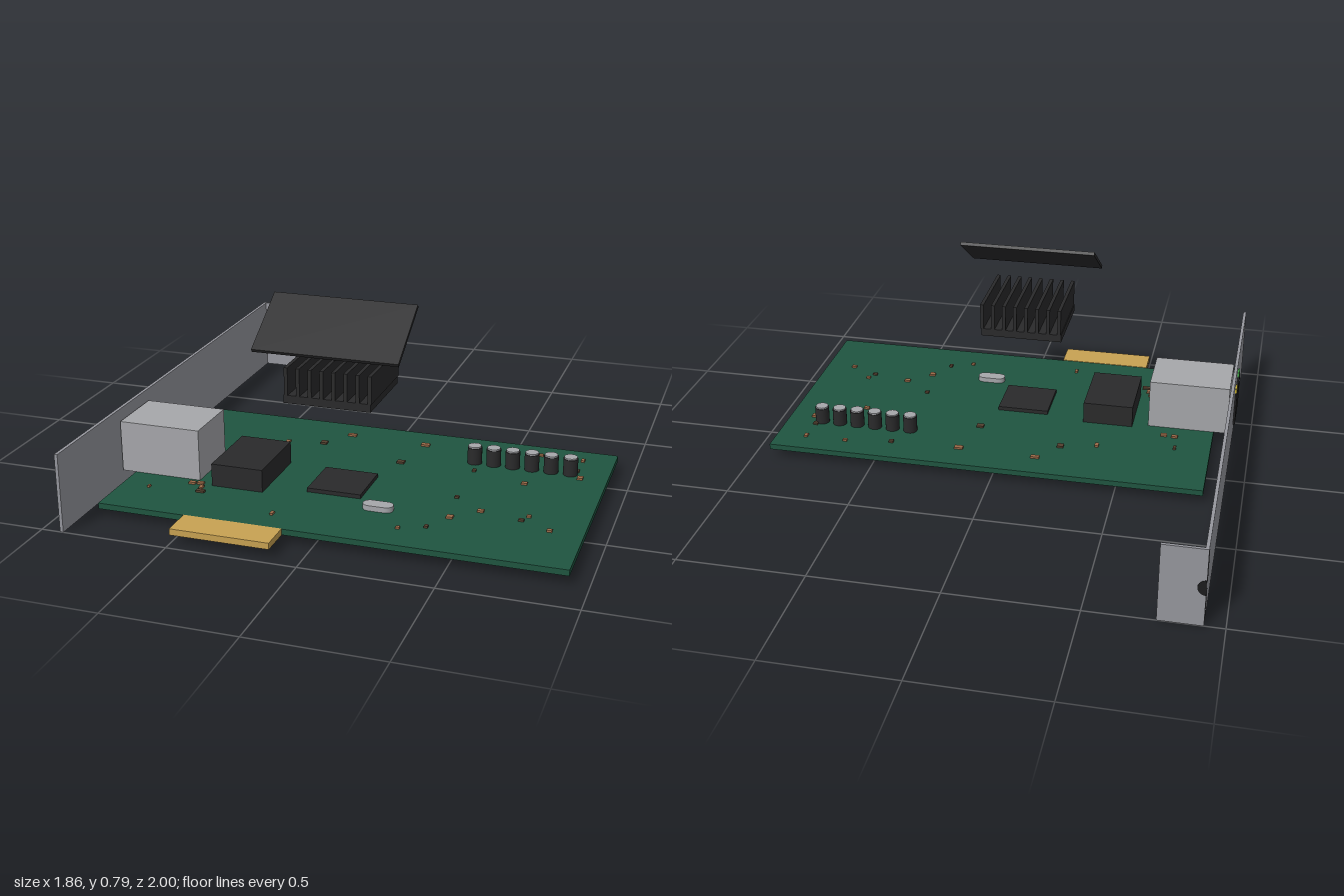
import * as THREE from 'three';

const mat = (name, color) => {
  const m = new THREE.MeshStandardMaterial({ color });
  m.name = name;
  return m;
};

export function createModel() {
  const green = mat('boardGreen', 0x1f5540);
  const gold = mat('contactGold', 0xc8a252);
  const steel = mat('bracketSteel', 0x96979e);
  const silver = mat('silver', 0xa6a7ab);
  const dark = mat('darkPlastic', 0x2a2a2b);
  const black = mat('black', 0x1c1c1d);
  const copper = mat('componentCopper', 0x9a6a48);
  const brown = mat('componentBrown', 0x54402f);
  const yellow = mat('lightYellow', 0xc8b030);
  const lime = mat('lightGreen', 0x3fa045);

  const model = new THREE.Group();
  model.name = 'expansionCard';

  const add = (parent, name, geometry, material, x = 0, y = 0, z = 0) => {
    const mesh = new THREE.Mesh(geometry, material);
    mesh.name = name;
    mesh.position.set(x, y, z);
    parent.add(mesh);
    return mesh;
  };
  // Box given by its low and high limits on each axis
  const box = (name, material, [x0, x1], [y0, y1], [z0, z1], parent = model) =>
    add(parent, name, new THREE.BoxGeometry(x1 - x0, y1 - y0, z1 - z0), material,
      (x0 + x1) / 2, (y0 + y1) / 2, (z0 + z1) / 2);
  const group = (name) => {
    const g = new THREE.Group();
    g.name = name;
    model.add(g);
    return g;
  };

  // Circuit board and edge connector
  box('circuitBoard', green, [-0.85, 0.93], [0.035, 0.058], [-0.2, 0.843]);
  box('edgeConnector', gold, [-0.5, -0.115], [0.035, 0.06], [0.843, 0.967]);

  // Mounting bracket with folded tab
  const bracket = group('bracket');
  box('bracketPlate', steel, [-0.925, -0.912], [0, 0.308], [-1, 1], bracket);
  box('bracketTab', steel, [-0.912, -0.762], [0, 0.308], [-1, -0.988], bracket);
  // Screw notch at the folded corner
  const notch = add(bracket, 'screwNotch',
    new THREE.CylinderGeometry(0.03, 0.03, 0.016, 20, 1, false, 0, Math.PI), black, -0.924, 0.155, -0.994);
  notch.rotation.x = Math.PI / 2;
  for (const y of [[0.012, 0.14], [0.17, 0.296]])
    box('cornerFold', black, [-0.926, -0.918], y, [-0.986, -0.975], bracket);

  // Network socket
  const socket = group('networkSocket');
  box('socketShell', silver, [-0.905, -0.575], [0.058, 0.263], [0.29, 0.535], socket);
  box('socketOpening', black, [-0.934, -0.925], [0.09, 0.235], [0.315, 0.515], socket);
  box('yellowLight', yellow, [-0.932, -0.925], [0.235, 0.255], [0.315, 0.36], socket);
  box('greenLight', lime, [-0.932, -0.925], [0.235, 0.255], [0.47, 0.515], socket);

  // Transformer and main chip
  box('transformer', dark, [-0.51, -0.302], [0.058, 0.148], [0.265, 0.567]);
  box('mainChip', dark, [-0.142, 0.072], [0.058, 0.074], [0.298, 0.51]);

  // Oscillator can with rounded ends
  const can = new THREE.Shape();
  can.absarc(0.032, 0, 0.027, -Math.PI / 2, Math.PI / 2);
  can.absarc(-0.032, 0, 0.027, Math.PI / 2, Math.PI * 1.5);
  const canGeo = new THREE.ExtrudeGeometry(can, { depth: 0.021, bevelEnabled: false, curveSegments: 12 });
  canGeo.rotateX(-Math.PI / 2);
  add(model, 'oscillator', canGeo, silver, 0.163, 0.058, 0.575);

  // Row of capacitors with silver tops
  const caps = group('capacitors');
  for (let i = 0; i < 6; i++) {
    const x = 0.395 + i * 0.077;
    add(caps, 'capacitorBody', new THREE.CylinderGeometry(0.029, 0.029, 0.068, 20), dark, x, 0.092, 0.04);
    add(caps, 'capacitorTop', new THREE.CylinderGeometry(0.026, 0.026, 0.006, 20), silver, x, 0.129, 0.04);
  }

  // Heat sink held above the board: pad, base and fins
  const sink = group('heatSink');
  box('thermalPad', silver, [-0.145, 0.075], [0.427, 0.434], [0.295, 0.51], sink);
  box('sinkBase', dark, [-0.205, 0.132], [0.434, 0.465], [0.235, 0.57], sink);
  for (let i = 0; i < 8; i++) {
    const x = -0.195 + i * 0.0463;
    box('sinkFin', dark, [x - 0.007, x + 0.007], [0.465, 0.572], [0.235, 0.57], sink);
  }

  // Tilted cover plate above the heat sink
  const cover = box('coverPlate', dark, [-0.315, 0.247], [0.704, 0.718], [0.335, 0.62]);
  cover.rotation.x = 0.56;

  // Small surface components: x, z, length, width
  const smd = group('surfaceComponents');
  const parts = [
    [-0.16, -0.08, 0.035, 0.018], [-0.245, 0.033, 0.026, 0.026], [0.16, -0.068, 0.035, 0.022],
    [-0.39, 0.07, 0.016, 0.026], [0.115, 0.133, 0.03, 0.024], [-0.695, 0.21, 0.026, 0.018],
    [-0.65, 0.215, 0.026, 0.018], [-0.705, 0.115, 0.012, 0.024], [-0.59, 0.57, 0.026, 0.018],
    [-0.558, 0.565, 0.026, 0.018], [-0.528, 0.633, 0.034, 0.018], [-0.54, 0.6, 0.014, 0.024],
    [-0.735, 0.65, 0.01, 0.014], [0.415, 0.39, 0.016, 0.014], [0.435, 0.567, 0.024, 0.024],
    [0.53, 0.483, 0.024, 0.018], [0.69, 0.515, 0.02, 0.014], [0.71, 0.475, 0.016, 0.014],
    [0.805, 0.57, 0.02, 0.016], [0.375, 0.67, 0.014, 0.018], [0.28, 0.71, 0.014, 0.014],
    [-0.195, 0.735, 0.012, 0.024], [0.445, -0.075, 0.018, 0.018], [0.635, -0.105, 0.018, 0.014],
    [0.805, -0.1, 0.014, 0.022], [0.8, 0.01, 0.02, 0.018], [0.825, 0.075, 0.022, 0.024],
    [0.63, 0.19, 0.022, 0.018], [0.415, 0.125, 0.014, 0.018],
  ];
  parts.forEach(([x, z, l, w], i) =>
    box('surfaceComponent', i % 3 === 1 ? brown : copper,
      [x - l / 2, x + l / 2], [0.058, 0.066], [z - w / 2, z + w / 2], smd));

  return model;
}
